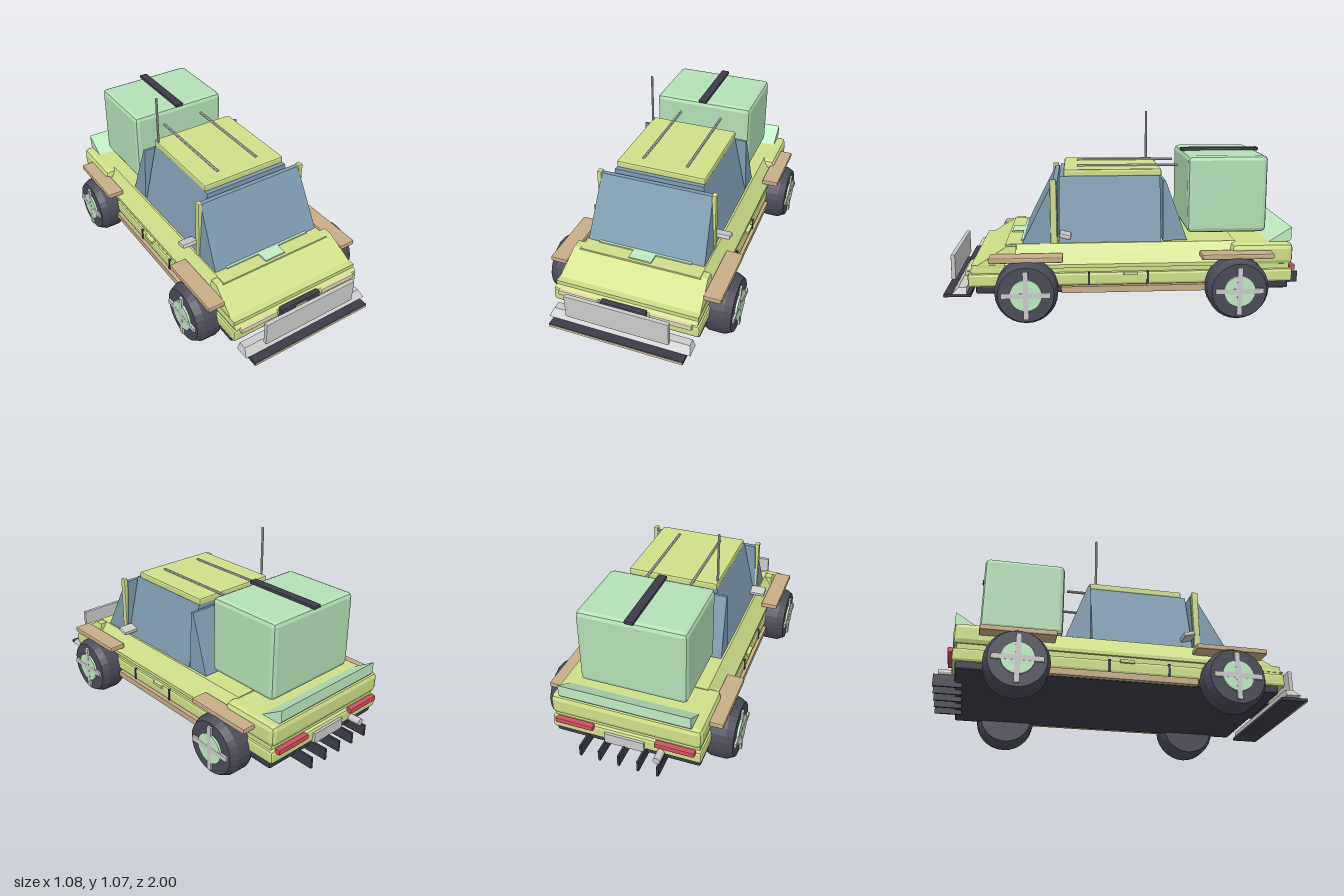
import * as THREE from 'three';
import { RoundedBoxGeometry } from 'three/addons/geometries/RoundedBoxGeometry.js';

const mat = (color) => new THREE.MeshStandardMaterial({ color, flatShading: true });
const M = {
  body: mat(0xd0e08a), cargo: mat(0xb5e0b8), mint: mat(0xc0ecc4), glass: mat(0x7f9bb0),
  dark: mat(0x3d3d4a), tyre: mat(0x4c4c5a), tan: mat(0xc8ae88), cream: mat(0xe0d8b0),
  red: mat(0xd05060), grey: mat(0xcccccc),
};

export function createModel() {
  const car = new THREE.Group();
  car.name = 'car';

  const add = (name, geometry, material, parent = car) => {
    const mesh = new THREE.Mesh(geometry, material);
    mesh.name = name;
    parent.add(mesh);
    return mesh;
  };

  // Box given by its extents, with an optional chamfer
  const box = (name, material, [x0, x1], [y0, y1], [z0, z1], chamfer = 0) => {
    const s = [x1 - x0, y1 - y0, z1 - z0];
    const g = chamfer ? new RoundedBoxGeometry(...s, 1, chamfer) : new THREE.BoxGeometry(...s);
    g.translate((x0 + x1) / 2, (y0 + y1) / 2, (z0 + z1) / 2);
    return add(name, g, material);
  };

  // Same box on both sides of the car
  const pair = (name, material, [x0, x1], y, z, chamfer) => {
    box('left' + name, material, [x0, x1], y, z, chamfer);
    box('right' + name, material, [-x1, -x0], y, z, chamfer);
  };

  // Tapered block: bottom and top rectangles as [half width, back z, front z]
  const taper = (name, material, [y0, y1], bottom, top) => {
    const g = new THREE.BoxGeometry(2, 2, 2);
    const p = g.attributes.position;
    for (let i = 0; i < p.count; i++) {
      const up = p.getY(i) > 0;
      const [w, back, front] = up ? top : bottom;
      p.setXYZ(i, p.getX(i) * w, up ? y1 : y0, p.getZ(i) > 0 ? front : back);
    }
    g.computeVertexNormals();
    return add(name, g, material);
  };

  // Chassis and body shell
  box('chassis', M.dark, [-0.405, 0.405], [0.14, 0.19], [-0.89, 0.82], 0.012);
  box('lowerBody', M.body, [-0.415, 0.415], [0.18, 0.255], [-0.91, 0.86], 0.015);
  box('bodyGroove', M.body, [-0.402, 0.402], [0.24, 0.3], [-0.89, 0.84]);
  taper('middleBody', M.body, [0.28, 0.3], [0.415, -0.6, 0.66], [0.415, -0.6, 0.66]);
  taper('shoulders', M.body, [0.3, 0.4], [0.415, -0.6, 0.66], [0.345, -0.6, 0.66]);
  box('rearDeck', M.body, [-0.415, 0.415], [0.275, 0.395], [-0.912, -0.57], 0.028);
  taper('hoodSlope', M.body, [0.265, 0.397], [0.405, 0.6, 0.86], [0.385, 0.6, 0.65]);
  pair('Sill', M.tan, [0.39, 0.43], [0.145, 0.18], [-0.43, 0.36]);
  for (const z of [0.21, -0.11]) pair('DoorGap', M.dark, [0.405, 0.419], [0.185, 0.255], [z - 0.006, z + 0.006]);
  pair('DoorHandle', M.body, [0.41, 0.428], [0.24, 0.256], [-0.055, 0.022]);
  box('cowl', M.mint, [-0.27, 0.27], [0.395, 0.408], [0.55, 0.58]);
  box('hoodVent', M.mint, [-0.065, 0.065], [0.39, 0.408], [0.57, 0.645]);

  // Cabin glass, roof and pillars
  taper('cabinGlass', M.glass, [0.395, 0.755], [0.335, -0.19, 0.37], [0.255, -0.19, 0.365]);
  taper('windshield', M.glass, [0.4, 0.735], [0.338, 0.375, 0.57], [0.32, 0.375, 0.4]);
  taper('rearWindow', M.glass, [0.405, 0.735], [0.335, -0.335, -0.2], [0.32, -0.215, -0.2]);
  box('roof', M.body, [-0.257, 0.257], [0.75, 0.792], [-0.198, 0.342], 0.01);
  pair('Pillar', M.body, [0.317, 0.343], [0.395, 0.75], [0.38, 0.415], 0.005);
  for (const x of [-0.127, 0.127]) {
    const rail = new THREE.CylinderGeometry(0.008, 0.008, 0.575, 8).rotateX(Math.PI / 2);
    add('roofRail', rail, M.grey).position.set(x, 0.795, -0.02);
  }
  const antenna = new THREE.CylinderGeometry(0.007, 0.007, 0.33, 8);
  add('antenna', antenna, M.grey).position.set(-0.25, 0.91, -0.16);
  for (const s of [-1, 1]) {
    const mirror = add('mirror', new RoundedBoxGeometry(0.09, 0.026, 0.065, 1, 0.008), M.grey);
    mirror.position.set(s * 0.365, 0.452, 0.335);
    mirror.rotation.x = -0.25;
  }

  // Cargo box, strap and rear spoiler
  box('cargoBox', M.cargo, [-0.296, 0.296], [0.433, 0.864], [-0.786, -0.342], 0.025);
  box('cargoStrap', M.dark, [-0.025, 0.025], [0.86, 0.88], [-0.795, -0.337], 0.006);
  const lip = new THREE.Shape([[0.785, 0.395], [0.9, 0.395], [0.912, 0.41], [0.912, 0.475]]
    .map(([z, y]) => new THREE.Vector2(z, y)));
  const spoiler = new THREE.ExtrudeGeometry(lip, { depth: 0.72, bevelEnabled: false });
  spoiler.rotateY(Math.PI / 2).translate(-0.36, 0, 0);
  add('spoiler', spoiler, M.mint);

  // Fenders and wheels
  const profile = [[0, -0.082], [0.148, -0.082], [0.168, -0.042], [0.168, 0.042], [0.148, 0.082], [0, 0.082]]
    .map(([r, y]) => new THREE.Vector2(r, y));
  const tyre = new THREE.LatheGeometry(profile, 28).rotateZ(-Math.PI / 2);
  const hub = new THREE.CylinderGeometry(0.085, 0.085, 0.02, 20).rotateZ(Math.PI / 2);
  for (const z of [0.543, -0.59]) {
    pair('Fender', M.tan, [0.39, 0.488], [0.33, 0.36], [z - 0.196, z + 0.196], 0.007);
    for (const s of [-1, 1]) {
      const wheel = new THREE.Group();
      wheel.name = 'wheel';
      wheel.position.set(s * 0.447, 0.17, z);
      add('tyre', tyre, M.tyre, wheel);
      add('hub', hub, M.mint, wheel).position.x = s * 0.084;
      for (const size of [[0.012, 0.26, 0.028], [0.012, 0.028, 0.26]]) {
        add('spoke', new THREE.BoxGeometry(...size), M.grey, wheel).position.x = s * 0.089;
      }
      car.add(wheel);
    }
  }

  // Nose: lights, grille, bumper, plate and splitter
  pair('Headlight', M.cream, [0.145, 0.378], [0.235, 0.267], [0.845, 0.876], 0.006);
  box('grille', M.dark, [-0.13, 0.13], [0.18, 0.275], [0.85, 0.884], 0.008);
  box('grilleBadge', M.cream, [-0.035, 0.035], [0.2, 0.26], [0.88, 0.89]);
  taper('bumper', M.grey, [0.14, 0.175], [0.4, 0.87, 0.95], [0.385, 0.87, 0.915]);
  box('frontPlate', M.grey, [-0.29, 0.29], [0.19, 0.33], [0.942, 0.966], 0.004);
  box('splitter', M.dark, [-0.378, 0.378], [0.118, 0.135], [0.85, 0.997]);
  box('splitterEdge', M.cream, [-0.376, 0.376], [0.118, 0.131], [0.99, 1]);

  // Tail: lights, plate, exhaust and diffuser blades
  pair('TailLight', M.red, [0.17, 0.385], [0.236, 0.266], [-0.933, -0.9], 0.006);
  box('rearPlate', M.grey, [-0.11, 0.11], [0.175, 0.235], [-0.924, -0.9]);
  const pipe = new THREE.CylinderGeometry(0.02, 0.02, 0.12, 12).rotateX(Math.PI / 2);
  add('exhaust', pipe, M.grey).position.set(-0.2, 0.195, -0.917);
  for (let i = -2; i <= 2; i++) {
    const x = i * 0.107;
    box('diffuserBlade', M.dark, [x - 0.006, x + 0.006], [0.115, 0.18], [-1, -0.85]);
  }
  return car;
}
